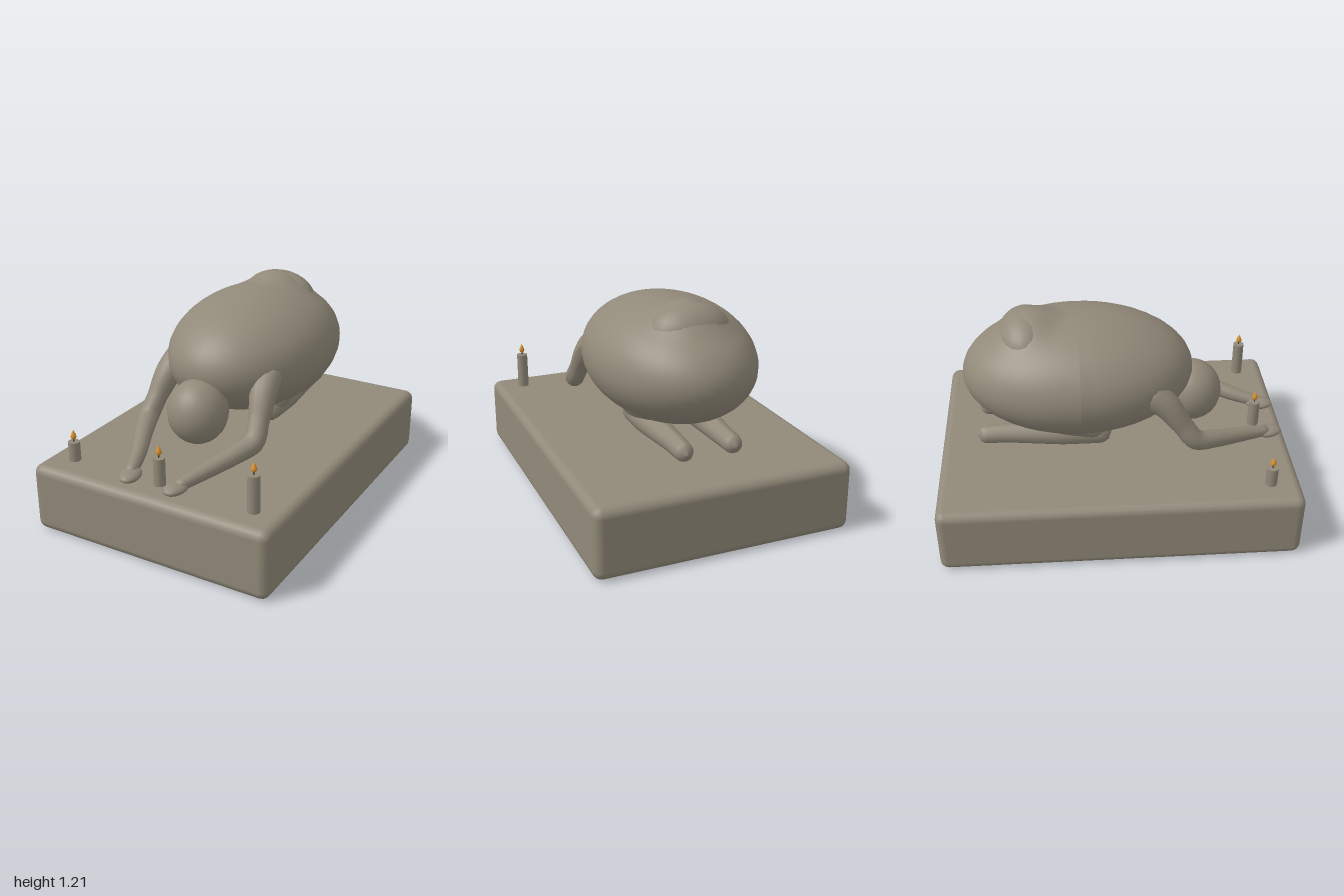
import * as THREE from 'three';
import { RoundedBoxGeometry } from 'three/addons/geometries/RoundedBoxGeometry.js';

const stone = new THREE.MeshStandardMaterial({ color: 0x918979 });
stone.name = 'stone';
const flameOrange = new THREE.MeshStandardMaterial({ color: 0xd8922e });
flameOrange.name = 'flameOrange';
const wickDark = new THREE.MeshStandardMaterial({ color: 0x3a332a });
wickDark.name = 'wickDark';

function add(parent, name, geometry, material, position = [0, 0, 0]) {
  const mesh = new THREE.Mesh(geometry, material);
  mesh.name = name;
  mesh.position.set(...position);
  parent.add(mesh);
  return mesh;
}

function ellipsoid(rx, ry, rz, w = 24, h = 16) {
  return new THREE.SphereGeometry(1, w, h).scale(rx, ry, rz);
}

// Tapered limb: stations are [x, y, z, radius], with rounded ends
function limb(stations) {
  const curve = new THREE.CatmullRomCurve3(
    stations.map(([x, y, z]) => new THREE.Vector3(x, y, z)), false, 'centripetal');
  const rings = 40, sides = 14;
  const geo = new THREE.TubeGeometry(curve, rings, 1, sides, false);
  const length = curve.getLength();
  const pos = geo.attributes.position;
  const v = new THREE.Vector3();
  for (let i = 0; i <= rings; i++) {
    const u = i / rings;
    const c = curve.getPointAt(u);
    const t = curve.getUtoTmapping(u) * (stations.length - 1);
    const k = Math.min(Math.floor(t), stations.length - 2);
    let r = THREE.MathUtils.lerp(stations[k][3], stations[k + 1][3], t - k);
    const end = Math.min(1, Math.min(u, 1 - u) * length / r);
    r *= Math.sqrt(Math.max(0, 1 - (1 - end) ** 2));
    for (let j = 0; j <= sides; j++) {
      const n = i * (sides + 1) + j;
      v.fromBufferAttribute(pos, n).sub(c).multiplyScalar(r).add(c);
      pos.setXYZ(n, v.x, v.y, v.z);
    }
  }
  geo.computeVertexNormals();
  return geo;
}

// Egg-shaped back with a soft hump near the rear
function torsoGeometry() {
  const geo = ellipsoid(0.45, 0.335, 0.645, 40, 32);
  const pos = geo.attributes.position;
  for (let i = 0; i < pos.count; i++) {
    const x = pos.getX(i), y = pos.getY(i), z = pos.getZ(i);
    if (y <= 0) continue;
    const d = Math.hypot(x / 0.26, (z + 0.29) / 0.22);
    if (d < 1) pos.setY(i, y + 0.07 * (1 - d * d) ** 2);
  }
  geo.computeVertexNormals();
  return geo;
}

function candle(x, height) {
  const group = new THREE.Group();
  group.name = 'candle';
  group.position.set(x, 0.385, 0.83);
  add(group, 'candleStick', new THREE.CylinderGeometry(0.032, 0.033, height, 16), stone, [0, height / 2, 0]);
  add(group, 'wick', new THREE.CylinderGeometry(0.004, 0.004, 0.024, 6), wickDark, [0, height + 0.01, 0]);
  // Teardrop flame
  const profile = [[0, 0], [0.01, 0.005], [0.0165, 0.016], [0.014, 0.028], [0.007, 0.044], [0, 0.058]]
    .map(([r, y]) => new THREE.Vector2(r, y));
  add(group, 'flame', new THREE.LatheGeometry(profile, 12), flameOrange, [0, height + 0.011, 0]);
  return group;
}

export function createModel() {
  const model = new THREE.Group();
  model.name = 'bowingFigureOnSlab';

  // Slab with softened edges
  add(model, 'slab', new RoundedBoxGeometry(1.44, 0.39, 2, 2, 0.05), stone, [0, 0.195, 0]);

  // Bowed body and head
  const figure = new THREE.Group();
  figure.name = 'bowingFigure';
  model.add(figure);
  add(figure, 'torso', torsoGeometry(), stone, [0, 0.84, -0.2]);
  add(figure, 'hump', ellipsoid(0.23, 0.165, 0.165), stone, [0, 1.04, -0.48]);
  add(figure, 'head', ellipsoid(0.167, 0.18, 0.17), stone, [0, 0.655, 0.45]);
  add(figure, 'neck', limb([[0, 0.82, 0.1, 0.17], [0, 0.74, 0.28, 0.16], [0, 0.67, 0.42, 0.14]]), stone);

  for (const s of [1, -1]) {
    const side = s > 0 ? 'left' : 'right';
    // Arm from shoulder through elbow to wrist
    add(figure, side + 'Arm', limb([
      [s * 0.26, 0.86, 0.12, 0.1], [s * 0.3, 0.77, 0.26, 0.078], [s * 0.325, 0.64, 0.36, 0.058],
      [s * 0.335, 0.545, 0.435, 0.058], [s * 0.29, 0.51, 0.55, 0.052],
      [s * 0.2, 0.465, 0.74, 0.042], [s * 0.14, 0.438, 0.9, 0.03],
    ]), stone);
    const hand = add(figure, side + 'Hand', ellipsoid(0.055, 0.029, 0.08, 16, 10), stone, [s * 0.14, 0.434, 0.89]);
    hand.rotation.y = -s * 0.15;
    // Folded thigh, shin and foot
    add(figure, side + 'Thigh', limb([[s * 0.17, 0.7, -0.45, 0.13], [s * 0.16, 0.61, -0.25, 0.11], [s * 0.15, 0.51, -0.05, 0.075]]), stone);
    add(figure, side + 'Shin', limb([
      [s * 0.15, 0.495, -0.02, 0.075], [s * 0.15, 0.495, -0.3, 0.075],
      [s * 0.14, 0.495, -0.6, 0.058], [s * 0.14, 0.49, -0.785, 0.05],
    ]), stone);
  }

  // Three candles of rising height along the front
  [[-0.555, 0.115], [0, 0.16], [0.555, 0.21]].forEach(([x, h]) => model.add(candle(x, h)));

  return model;
}
